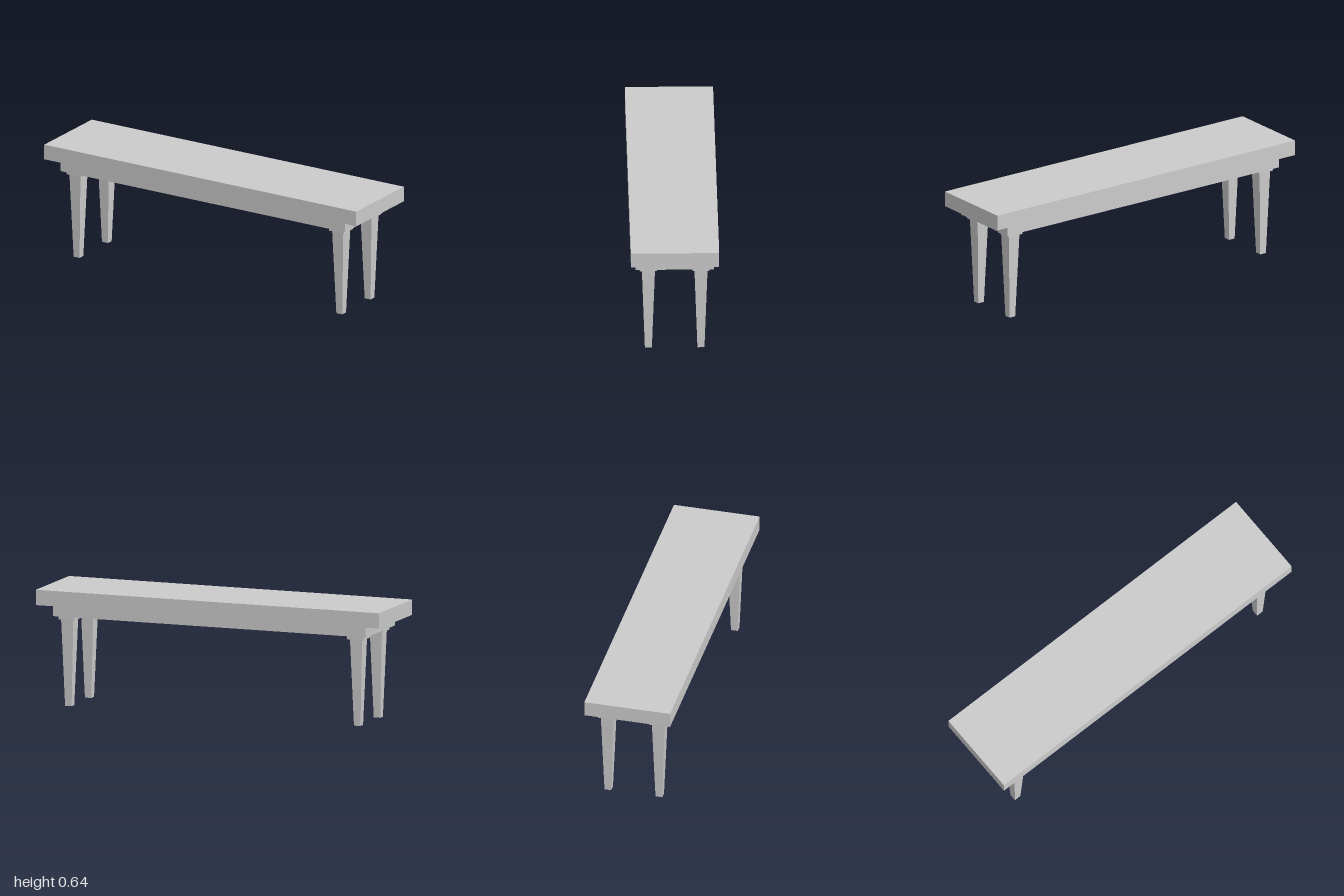
import * as THREE from 'three';

const material = new THREE.MeshStandardMaterial({ color: 0xcccccc, flatShading: true });

// Box given by its size and the height of its underside
function slab(name, width, height, depth, bottom) {
  const mesh = new THREE.Mesh(new THREE.BoxGeometry(width, height, depth), material);
  mesh.name = name;
  mesh.position.y = bottom + height / 2;
  return mesh;
}

// Square leg tapering to the floor, with a square cap block on top
function createLeg(name, x, z) {
  const legHeight = 0.476, topWidth = 0.071, footWidth = 0.038;
  const geometry = new THREE.CylinderGeometry(
    topWidth * Math.SQRT1_2, footWidth * Math.SQRT1_2, legHeight, 4);
  geometry.rotateY(Math.PI / 4);
  geometry.translate(0, legHeight / 2, 0);

  const shaft = new THREE.Mesh(geometry, material);
  shaft.name = 'taperedShaft';

  const leg = new THREE.Group();
  leg.name = name;
  leg.add(shaft, slab('legCap', 0.094, 0.02, 0.094, legHeight));
  leg.position.set(x, 0, z);
  return leg;
}

export function createModel() {
  const bench = new THREE.Group();
  bench.name = 'bench';

  // Seat and the narrower apron beneath it
  bench.add(slab('seat', 2, 0.084, 0.477, 0.555));
  bench.add(slab('apron', 1.824, 0.059, 0.423, 0.496));

  // Four legs at the corners of the apron
  for (const [side, sx] of [['Left', 1], ['Right', -1]]) {
    for (const [end, sz] of [['front', 1], ['back', -1]]) {
      bench.add(createLeg(`${end}${side}Leg`, sx * 0.842, sz * 0.142));
    }
  }
  return bench;
}
